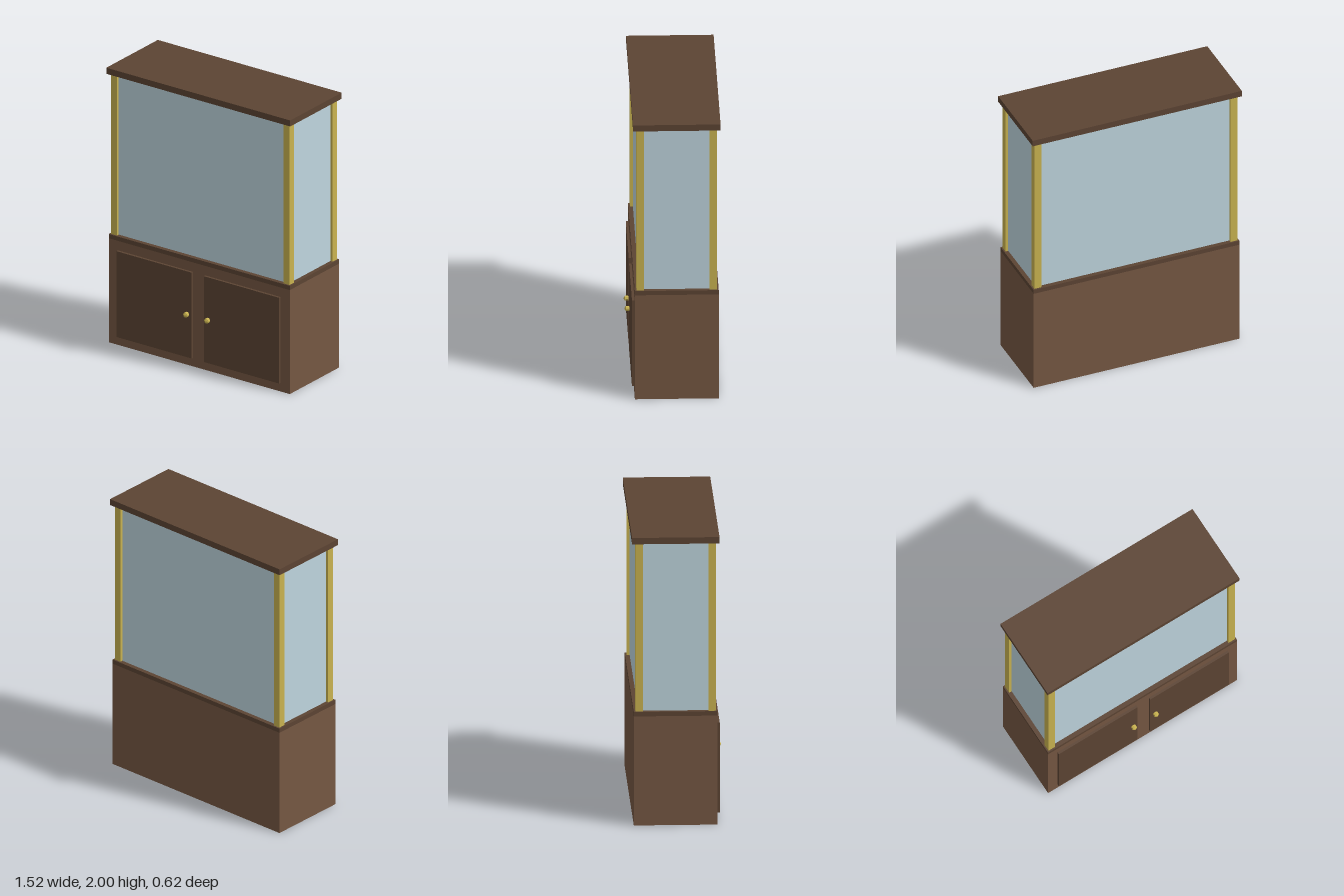
import * as THREE from 'three';

const mat = (color) => new THREE.MeshStandardMaterial({ color });

export function createModel() {
  const model = new THREE.Group();
  const wood = mat(0x755742), darkWood = mat(0x5c4433), glass = mat(0xbfd5de);
  const brass = mat(0xc9b350);
  const knobBrass = mat(0xc9b350);
  knobBrass.flatShading = true;

  // Box given by its lower and upper limits on each axis
  const addBox = (name, material, [x0, x1], [y0, y1], [z0, z1]) => {
    const mesh = new THREE.Mesh(new THREE.BoxGeometry(x1 - x0, y1 - y0, z1 - z0), material);
    mesh.position.set((x0 + x1) / 2, (y0 + y1) / 2, (z0 + z1) / 2);
    mesh.name = name;
    model.add(mesh);
  };

  const midZ = -0.02;
  const around = (half, mid = 0) => [mid - half, mid + half];
  const caseY = [0.788, 1.956];

  // Cabinet, counter and lid
  addBox('cabinet', wood, around(0.75), [0, 0.757], around(0.281, midZ));
  addBox('counter', darkWood, around(0.75), [0.757, 0.788], around(0.281, midZ));
  addBox('lid', darkWood, around(0.762), [1.956, 2], around(0.293, midZ));

  for (const s of [-1, 1]) {
    const side = s > 0 ? 'left' : 'right';

    // Corner posts
    for (const t of [-1, 1])
      addBox(`${side}${t > 0 ? 'Front' : 'Back'}Post`, brass,
        around(0.025, s * 0.715), caseY, around(0.025, midZ + t * 0.245));

    // Glass panes set midway in the posts
    addBox(`${side}Pane`, glass, around(0.005, s * 0.715), caseY, around(0.22, midZ));
    addBox(s > 0 ? 'frontPane' : 'backPane', glass,
      around(0.69), caseY, around(0.005, midZ + s * 0.245));

    // Cabinet doors
    addBox(`${side}Door`, darkWood, around(0.3125, s * 0.3625), [0.063, 0.688], [0.255, 0.278]);

    // Faceted knobs with their poles facing forward
    const knob = new THREE.Mesh(new THREE.SphereGeometry(0.021, 8, 3).rotateX(Math.PI / 2), knobBrass);
    knob.position.set(s * 0.087, 0.378, 0.291);
    knob.name = `${side}Knob`;
    model.add(knob);
  }
  return model;
}
